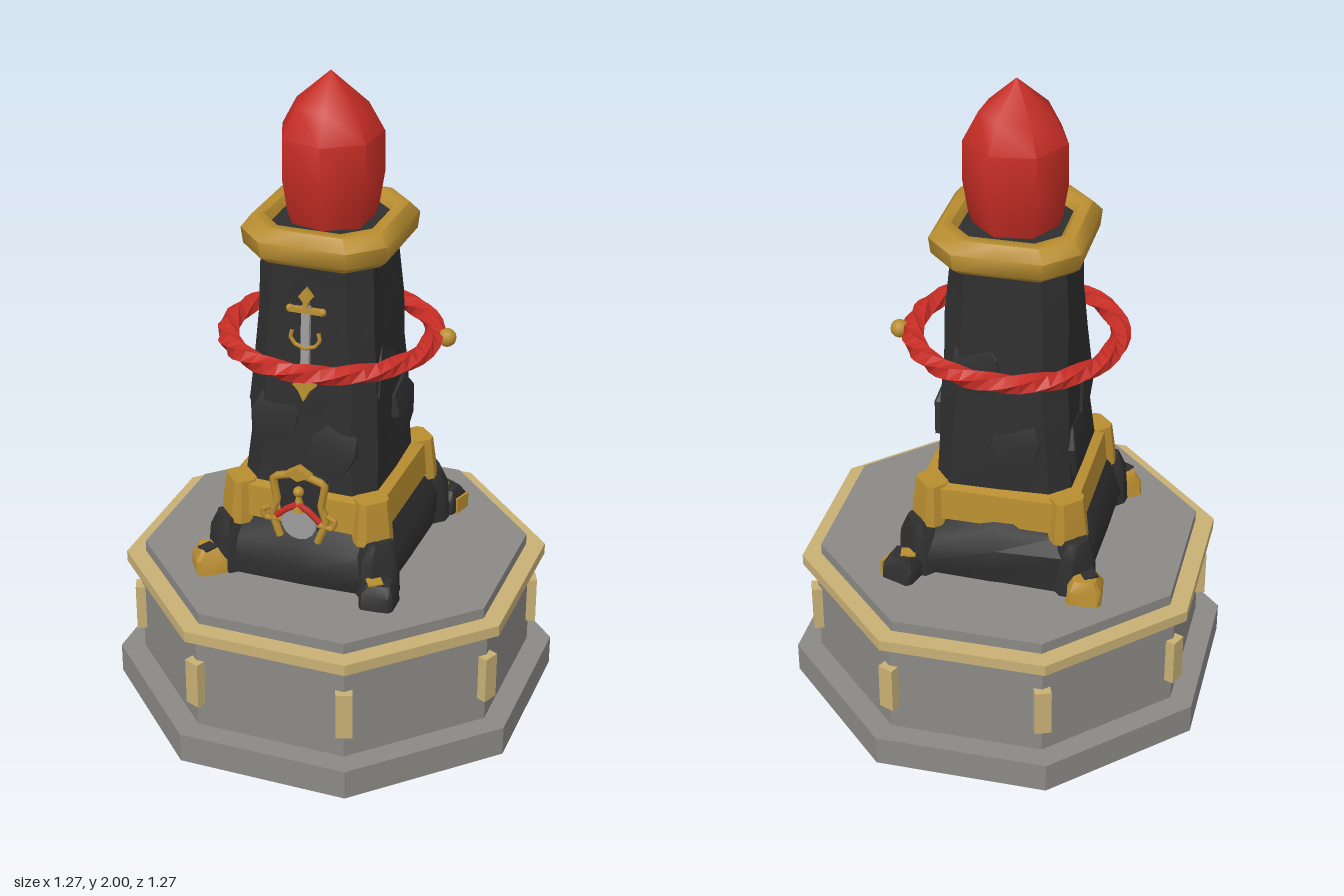
import * as THREE from 'three';
import { toCreasedNormals } from 'three/addons/utils/BufferGeometryUtils.js';

const mat = (name, color) => Object.assign(new THREE.MeshStandardMaterial({ color }), { name });
const CX = -0.017; // tower axis

// Stacks chamfered-square sections [y, halfX, halfZ, chamfer]; closed = hollow ring
function loft(sections, { closed = false, rough = 0, crease = 0.5 } = {}) {
  let seed = 7;
  const rnd = () => ((seed = (seed * 16807) % 2147483647) / 2147483647 - 0.5) * 2 * rough;
  const rings = sections.map(([y, a, b, c]) => [
    [a, b - c], [a, 0], [a, c - b], [a - c, -b], [0, -b], [c - a, -b],
    [-a, c - b], [-a, 0], [-a, b - c], [c - a, b], [0, b], [a - c, b],
  ].map(([x, z]) => [x + rnd(), y + rnd() * 0.6, z + rnd()]));
  const pos = [];
  const n = rings[0].length;
  const last = closed ? rings.length : rings.length - 1;
  for (let r = 0; r < last; r++) {
    const lo = rings[r], hi = rings[(r + 1) % rings.length];
    for (let i = 0; i < n; i++) {
      const j = (i + 1) % n;
      pos.push(...lo[i], ...lo[j], ...hi[j], ...lo[i], ...hi[j], ...hi[i]);
    }
  }
  if (!closed) {
    const top = rings[rings.length - 1], bot = rings[0];
    for (let i = 0; i < n; i++) {
      const j = (i + 1) % n;
      pos.push(...top[i], ...top[j], 0, sections[sections.length - 1][0], 0);
      pos.push(...bot[j], ...bot[i], 0, sections[0][0], 0);
    }
  }
  const g = new THREE.BufferGeometry();
  g.setAttribute('position', new THREE.Float32BufferAttribute(pos, 3));
  return toCreasedNormals(g, crease);
}

// Flat plate cut from 2D points
function plate(points, depth) {
  const shape = new THREE.Shape(points.map(([x, y]) => new THREE.Vector2(x, y)));
  return new THREE.ExtrudeGeometry(shape, { depth, bevelEnabled: false });
}

// Bent rod through points
function rod(points, radius) {
  const curve = new THREE.CatmullRomCurve3(points.map((p) => new THREE.Vector3(...p)), false, 'catmullrom', 0.2);
  return new THREE.TubeGeometry(curve, points.length * 4, radius, 6);
}

export function createModel() {
  const stone = mat('greyStone', 0x8b8985);
  const tan = mat('paleGold', 0xc8b075);
  const dark = mat('darkRock', 0x2e2e2e);
  const gold = mat('gold', 0xb88d30);
  const red = mat('red', 0xc62d25);
  const silver = mat('silver', 0x9c9c9c);

  const model = new THREE.Group();
  const add = (name, geometry, material, x = 0, y = 0, z = 0, parent = model) => {
    const m = new THREE.Mesh(geometry, material);
    m.name = name;
    m.position.set(x, y, z);
    parent.add(m);
    return m;
  };

  // Octagonal plinth
  const octagon = (name, apothem, y0, y1, material) => {
    const r = apothem / Math.cos(Math.PI / 8);
    const g = new THREE.CylinderGeometry(r, r, y1 - y0, 8, 1, false, Math.PI / 8);
    add(name, toCreasedNormals(g, 0.3), material, 0, (y0 + y1) / 2);
  };
  octagon('plinthFoot', 0.635, 0, 0.095, stone);
  octagon('plinthBody', 0.565, 0.095, 0.41, stone);
  octagon('plinthBand', 0.605, 0.41, 0.445, tan);
  octagon('plinthTop', 0.55, 0.445, 0.48, stone);
  for (let i = 0; i < 8; i++) {
    const a = Math.PI / 8 + (i * Math.PI) / 4;
    const post = add('cornerPost', new THREE.BoxGeometry(0.05, 0.15, 0.04), tan,
      Math.sin(a) * 0.612, 0.25, Math.cos(a) * 0.612);
    post.rotation.y = a;
  }

  // Rocky tower
  add('towerBase', loft([
    [0.475, 0.275, 0.285, 0.07], [0.53, 0.288, 0.298, 0.07], [0.6, 0.28, 0.292, 0.07],
    [0.65, 0.25, 0.26, 0.06], [0.72, 0.22, 0.23, 0.06],
  ], { rough: 0.01, crease: 0.7 }), dark, CX);
  add('towerShaft', loft([
    [0.68, 0.216, 0.226, 0.05], [0.78, 0.209, 0.219, 0.06], [0.9, 0.2, 0.212, 0.06],
    [1.02, 0.196, 0.206, 0.06], [1.15, 0.189, 0.197, 0.06], [1.3, 0.181, 0.189, 0.06],
    [1.48, 0.171, 0.178, 0.06], [1.56, 0.165, 0.172, 0.06],
  ], { rough: 0.006, crease: 0.35 }), dark, CX);
  // Loose rock slabs on the faces
  [[0.08, 0.9, 0.2, 0], [-0.1, 0.98, 0.19, 0], [0.07, 0.95, 0.2, 1], [-0.06, 1.12, 0.185, 1],
    [0.05, 0.92, 0.2, 2], [-0.07, 1.16, 0.185, 2], [0.06, 1.0, 0.19, 3], [-0.08, 0.88, 0.2, 3]]
    .forEach(([u, y, d, side], i) => {
      const a = (side * Math.PI) / 2;
      const s = add('rockSlab', loft([[-0.08, 0.06, 0.012, 0.004], [0.02, 0.075, 0.02, 0.006],
        [0.08, 0.05, 0.008, 0.003]], { rough: 0.004, crease: 0.4 }), dark,
      CX + Math.cos(a) * u + Math.sin(a) * d, y, Math.cos(a) * d - Math.sin(a) * u);
      s.rotation.set(-0.05, a, (i % 3 - 1) * 0.35, 'YXZ');
    });

  // Lower gold band with corner blocks
  add('lowerBand', loft([
    [0.665, 0.25, 0.258, 0.06], [0.765, 0.24, 0.25, 0.06],
    [0.775, 0.2, 0.21, 0.05], [0.665, 0.2, 0.21, 0.05],
  ], { closed: true }), gold, CX);
  for (const sx of [-1, 1]) for (const sz of [-1, 1]) {
    const corner = add('bandCorner', loft([[0.64, 0.06, 0.05, 0.02], [0.7, 0.056, 0.046, 0.02],
      [0.775, 0.048, 0.036, 0.015]], { crease: 0.6 }), gold, CX + sx * 0.207, 0, sz * 0.215);
    corner.rotation.y = sx * sz * Math.PI / 4;
    // Buttress running down to the foot
    const rib = add('buttress', loft([[-0.1, 0.07, 0.06, 0.025], [0.04, 0.06, 0.055, 0.025],
      [0.09, 0.04, 0.04, 0.015]], { rough: 0.005, crease: 0.7 }), dark, CX + sx * 0.232, 0.565, sz * 0.24);
    rib.rotation.y = sx * sz * Math.PI / 4;
  }

  // Feet: left pair gold, other pair dark with gold patches
  const foot = [[0.475, 0.055, 0.05, 0.012], [0.525, 0.052, 0.046, 0.012], [0.555, 0.036, 0.032, 0.01]];
  [[-0.3, -0.297, 0.1, gold], [-0.297, 0.292, 0.6, gold], [0.258, -0.312, -0.3, dark], [0.25, 0.308, 0.05, dark]]
    .forEach(([x, z, turn, material]) => {
      const f = add('foot', loft(foot, { rough: 0.004, crease: 0.6 }), material, x, 0, z);
      f.rotation.y = turn;
      const patch = add('footPatch', new THREE.BoxGeometry(0.045, 0.006, 0.04),
        material === gold ? dark : gold, -0.012, 0.556, 0.01, f);
      patch.rotation.y = 0.5;
      if (material === dark && z < 0) add('footPlate', new THREE.BoxGeometry(0.008, 0.05, 0.06), gold, 0.054, 0.505, -0.01, f);
    });

  // Upper gold collar
  add('collar', loft([
    [1.478, 0.195, 0.205, 0.08], [1.5, 0.218, 0.232, 0.09], [1.55, 0.223, 0.237, 0.09],
    [1.585, 0.198, 0.21, 0.085], [1.585, 0.165, 0.178, 0.07], [1.55, 0.14, 0.15, 0.06],
    [1.49, 0.14, 0.15, 0.06],
  ], { closed: true, crease: 0.9 }), gold, CX);

  // Red crystal
  const profile = [[0, 1.54], [0.12, 1.54], [0.14, 1.6], [0.156, 1.7], [0.154, 1.82], [0.108, 1.905], [0, 2]];
  const crystal = add('crystal', toCreasedNormals(
    new THREE.LatheGeometry(profile.map(([r, y]) => new THREE.Vector2(r, y)), 7), 0.95), red, CX);
  crystal.rotation.y = 0.15;

  // Floating twisted ring
  const R = 0.307;
  const ring = new THREE.TorusGeometry(R, 0.03, 5, 48);
  const p = ring.attributes.position;
  for (let i = 0; i < p.count; i++) {
    const u = Math.atan2(p.getY(i), p.getX(i));
    const t = Math.atan2(p.getZ(i), Math.hypot(p.getX(i), p.getY(i)) - R) + 3 * u;
    const r = R + Math.cos(t) * 0.034;
    p.setXYZ(i, Math.cos(u) * r, Math.sin(u) * r, Math.sin(t) * 0.028);
  }
  add('floatingRing', toCreasedNormals(ring, 0.4), red, CX, 1.195, 0).rotation.x = -Math.PI / 2;
  add('ringBead', new THREE.SphereGeometry(0.028, 12, 8), gold, 0.322, 1.195, -0.07);

  // Sword on the front face
  const sword = new THREE.Group();
  sword.name = 'sword';
  sword.position.set(-0.02, 1.235, 0.198);
  sword.rotation.x = -0.057;
  model.add(sword);
  add('blade', new THREE.BoxGeometry(0.026, 0.24, 0.014), silver, 0, 0, 0.004, sword);
  add('crossGuard', new THREE.BoxGeometry(0.1, 0.014, 0.022), gold, 0, 0.107, 0.004, sword);
  add('grip', new THREE.BoxGeometry(0.016, 0.05, 0.018), gold, 0, 0.13, 0.004, sword);
  add('pommel', plate([[0, -0.025], [0.022, 0], [0, 0.027], [-0.022, 0]], 0.018), gold, 0, 0.15, -0.004, sword);
  for (const s of [-1, 1]) {
    add('guardTip', new THREE.SphereGeometry(0.012, 8, 6), gold, s * 0.05, 0.107, 0.004, sword);
    add('hook', rod([[0, -0.01, 0.008], [s * 0.03, 0, 0.008], [s * 0.045, 0.02, 0.008], [s * 0.04, 0.045, 0.008]], 0.006), gold, 0, 0, 0, sword);
  }
  add('scabbardTip', plate([[0, -0.175], [0.018, -0.14], [0.035, -0.125], [0.016, -0.105], [0.014, -0.07],
    [-0.014, -0.07], [-0.016, -0.105], [-0.035, -0.125], [-0.018, -0.14]], 0.024), gold, 0, 0, -0.006, sword);

  // Shrine emblem at the front of the band
  const shrine = new THREE.Group();
  shrine.name = 'shrine';
  shrine.position.set(-0.015, 0, 0.268);
  model.add(shrine);
  add('backing', plate([[-0.06, 0.66], [0.06, 0.66], [0.075, 0.82], [0, 0.855], [-0.075, 0.82]], 0.03), dark, 0, 0, -0.035, shrine);
  const disc = add('disc', new THREE.CylinderGeometry(0.055, 0.055, 0.03, 14), silver, 0, 0.685, 0, shrine);
  disc.rotation.x = Math.PI / 2;
  add('peak', plate([[0, 0.875], [0.04, 0.85], [0, 0.83], [-0.04, 0.85]], 0.03), gold, 0, 0, -0.005, shrine);
  add('figureBody', new THREE.ConeGeometry(0.02, 0.08, 8), gold, 0, 0.765, 0.01, shrine);
  add('figureHead', new THREE.SphereGeometry(0.017, 8, 6), gold, 0, 0.79, 0.012, shrine);
  for (const s of [-1, 1]) {
    add('frame', rod([[0, 0.85, 0.008], [s * 0.08, 0.825, 0.008], [s * 0.07, 0.75, 0.008],
      [s * 0.085, 0.7, 0.008], [s * 0.06, 0.63, 0.012]], 0.012), gold, 0, 0, 0, shrine);
    add('scroll', rod([[s * 0.06, 0.69, 0.012], [s * 0.105, 0.685, 0.012], [s * 0.115, 0.71, 0.012],
      [s * 0.09, 0.725, 0.012]], 0.009), gold, 0, 0, 0, shrine);
    add('redChevron', rod([[0, 0.75, 0.016], [s * 0.035, 0.73, 0.016], [s * 0.07, 0.7, 0.016]], 0.01), red, 0, 0, 0, shrine);
  }
  return model;
}
